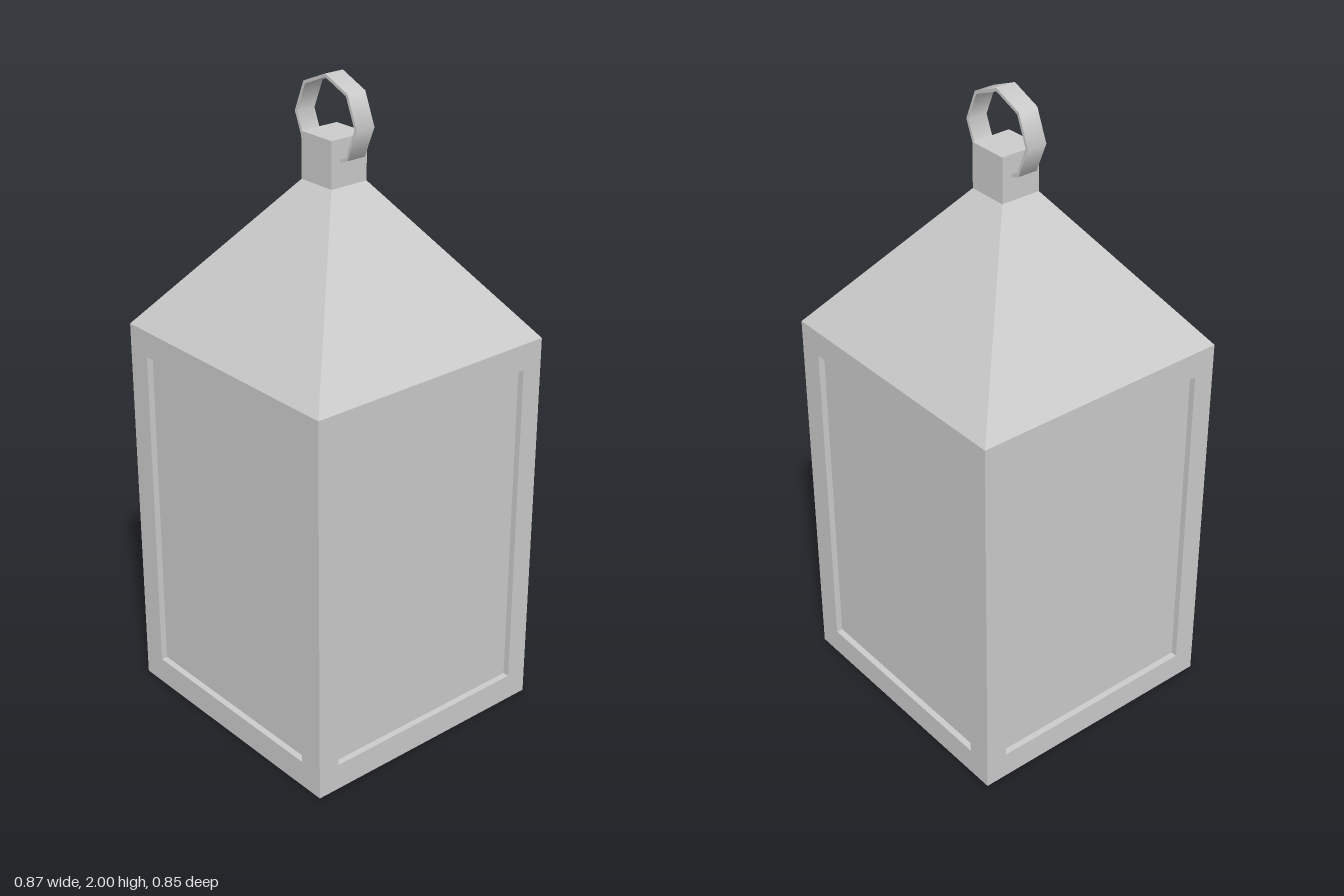
import * as THREE from 'three';
import { mergeGeometries } from 'three/addons/utils/BufferGeometryUtils.js';

const HX = 0.433, HZ = 0.424;      // half width and half depth of the body
const BODY = 1.227, ROOF = 1.69;   // heights of body top and roof top
const INSET = 0.02;                // depth of the recessed panes
const CAP = 0.065;                 // half width of the cap block

const material = new THREE.MeshStandardMaterial({ color: 0xcccccc });

function part(name, geometry, x = 0, y = 0, z = 0) {
  const mesh = new THREE.Mesh(geometry, material);
  mesh.name = name;
  mesh.position.set(x, y, z);
  return mesh;
}

// Flat rectangular frame with a window opening, standing on y = 0
function frameGeometry(half) {
  const rect = (Type, h, y0, y1) => new Type([
    new THREE.Vector2(-h, y0), new THREE.Vector2(h, y0),
    new THREE.Vector2(h, y1), new THREE.Vector2(-h, y1),
  ]);
  const shape = rect(THREE.Shape, half, 0, BODY);
  shape.holes.push(rect(THREE.Path, 0.353, 0.085, 1.145));
  return new THREE.ExtrudeGeometry(shape, { depth: INSET, bevelEnabled: false });
}

// Box tapered to a smaller square top
function roofGeometry() {
  const geometry = new THREE.BoxGeometry(2 * HX, ROOF - BODY, 2 * HZ).toNonIndexed();
  const p = geometry.attributes.position;
  for (let i = 0; i < p.count; i++) {
    if (p.getY(i) > 0) {
      p.setX(i, Math.sign(p.getX(i)) * CAP);
      p.setZ(i, Math.sign(p.getZ(i)) * CAP);
    }
  }
  geometry.computeVertexNormals();
  return geometry;
}

// Eight-sided flat band; each side of its section is lathed alone for sharp rims
function ringGeometry(outer, inner, h) {
  const section = [[outer, -h], [outer, h], [inner, h], [inner, -h]]
    .map(([x, y]) => new THREE.Vector2(x, y));
  const sides = section.map((a, i) =>
    new THREE.LatheGeometry([a, section[(i + 1) % 4]], 8));
  return mergeGeometries(sides).rotateX(Math.PI / 2);
}

export function createModel() {
  const lantern = new THREE.Group();
  lantern.name = 'lantern';

  // Inner body whose faces show as the panes
  lantern.add(part('panes',
    new THREE.BoxGeometry(2 * (HX - INSET), BODY, 2 * (HZ - INSET)), 0, BODY / 2, 0));

  // Four frames around the panes
  ['front', 'left', 'back', 'right'].forEach((side, i) => {
    const alongX = i % 2 === 0;
    const frame = new THREE.Group();
    frame.name = side + 'Frame';
    frame.rotation.y = i * Math.PI / 2;
    frame.add(part(side + 'FrameBorder',
      frameGeometry(alongX ? HX : HZ - INSET), 0, 0, (alongX ? HZ : HX) - INSET));
    lantern.add(frame);
  });

  // Roof, cap and carrying ring
  lantern.add(part('roof', roofGeometry(), 0, (BODY + ROOF) / 2, 0));
  lantern.add(part('cap', new THREE.BoxGeometry(2 * CAP, 0.14, 2 * CAP), 0, ROOF + 0.07, 0));
  lantern.add(part('ring', ringGeometry(0.133, 0.123, 0.032), 0, 1.867, 0));

  return lantern;
}
